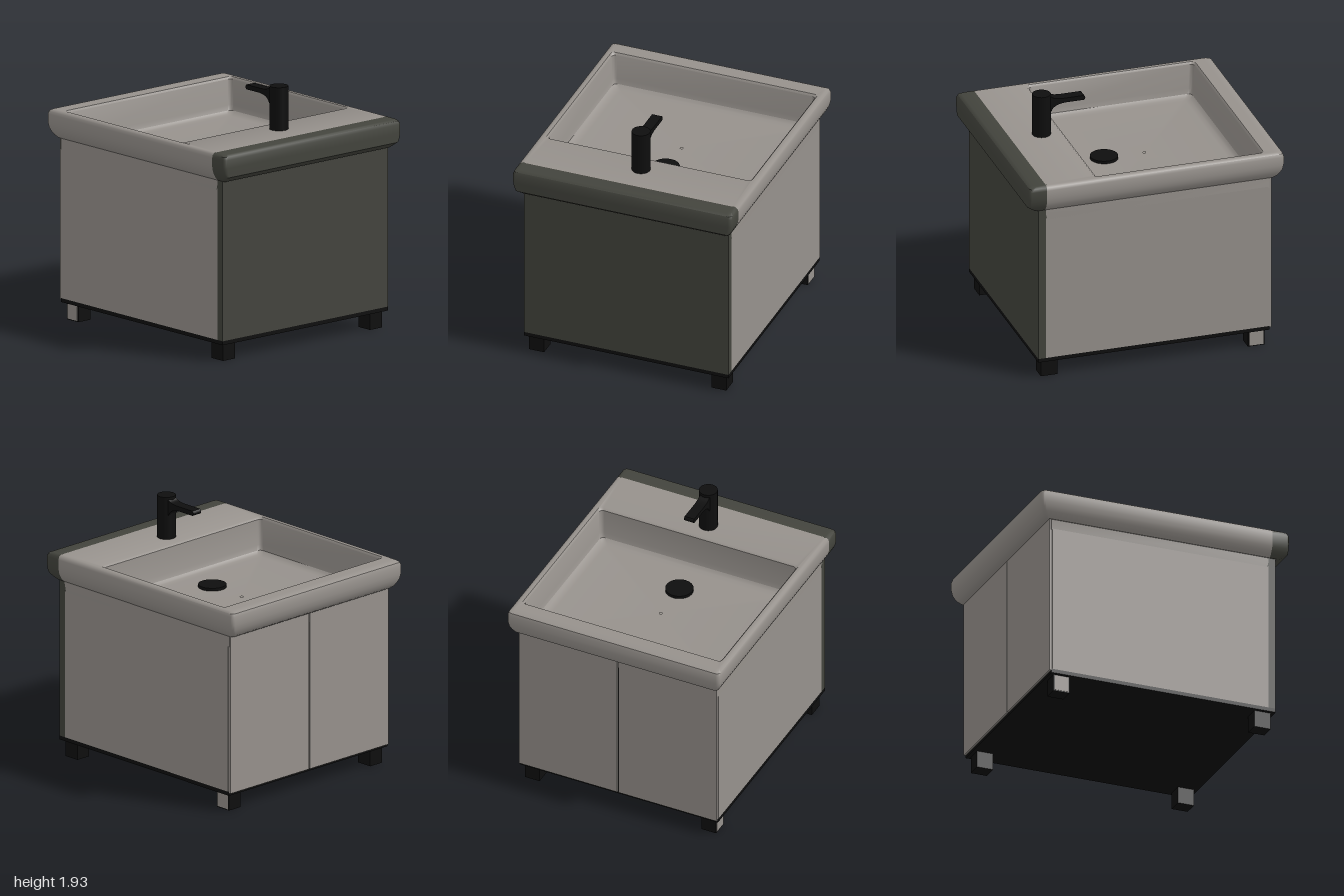
import * as THREE from 'three';
import { toCreasedNormals } from 'three/addons/utils/BufferGeometryUtils.js';

const mat = (name, color) => {
  const m = new THREE.MeshStandardMaterial({ color });
  m.name = name;
  return m;
};

// Rounded rectangle at height y; one extra point per side marks the dark front strip
function ring([y, x, z0, z1, r], stripZ) {
  const pts = [];
  const mark = Math.min(stripZ, z1 - r - 0.001);
  const corner = (cx, cz, start) => {
    for (let i = 0; i <= 5; i++) {
      const a = start + (i / 5) * Math.PI / 2;
      pts.push([cx + r * Math.cos(a), y, cz + r * Math.sin(a)]);
    }
  };
  pts.push([x, y, mark]);
  corner(x - r, z1 - r, 0);
  corner(r - x, z1 - r, Math.PI / 2);
  pts.push([-x, y, mark]);
  corner(r - x, z0 + r, Math.PI);
  corner(x - r, z0 + r, Math.PI * 1.5);
  return pts;
}

// Skins the rings, sorting faces into the body and the front strip
function loftBasin(profile, stripZ) {
  const rings = profile.map(p => ring(p, stripZ));
  const n = rings[0].length;
  const body = [], strip = [];
  const add = (...tri) => {
    const z = (tri[0][2] + tri[1][2] + tri[2][2]) / 3;
    (z > stripZ ? strip : body).push(...tri.flat());
  };
  for (let k = 0; k < rings.length - 1; k++) {
    for (let i = 0; i < n; i++) {
      const j = (i + 1) % n;
      const a = rings[k][i], b = rings[k][j], c = rings[k + 1][i], d = rings[k + 1][j];
      add(a, c, b);
      add(b, c, d);
    }
  }
  return [body, strip].map(p => {
    const g = new THREE.BufferGeometry();
    g.setAttribute('position', new THREE.Float32BufferAttribute(p, 3));
    return toCreasedNormals(g, 0.7);
  });
}

export function createModel() {
  const group = new THREE.Group();
  const stone = mat('warm grey', 0x96918c);
  const olive = mat('dark olive', 0x43443d);
  const black = mat('black', 0x0e0e0e);

  const add = (name, geometry, material, x = 0, y = 0, z = 0) => {
    const m = new THREE.Mesh(geometry, material);
    m.name = name;
    m.position.set(x, y, z);
    group.add(m);
    return m;
  };
  // Box given by its limits on each axis
  const box = (name, material, x0, x1, y0, y1, z0, z1) =>
    add(name, new THREE.BoxGeometry(x1 - x0, y1 - y0, z1 - z0), material,
      (x0 + x1) / 2, (y0 + y1) / 2, (z0 + z1) / 2);

  // Cabinet
  box('cabinetBody', stone, -0.82, 0.82, 0.16, 1.31, -0.89, 0.85);
  box('frontPanel', olive, -0.82, 0.82, 0.16, 1.42, 0.85, 0.91);
  box('bottomPlate', black, -0.82, 0.82, 0.13, 0.16, -0.9, 0.91);
  for (const s of [-1, 1]) {
    const inner = 0.006 * s, outer = 0.818 * s;
    box('door', stone, Math.min(inner, outer), Math.max(inner, outer), 0.15, 1.385, -0.915, -0.893);
  }
  box('doorGap', black, -0.006, 0.006, 0.16, 1.385, -0.897, -0.89);

  // Legs, the rear pair faced with light plates
  for (const s of [-1, 1]) {
    for (const z of [0.815, -0.805]) {
      add('leg', new THREE.BoxGeometry(0.12, 0.13, 0.13), black, 0.73 * s, 0.065, z);
    }
    add('legPlate', new THREE.BoxGeometry(0.004, 0.12, 0.11), stone, 0.791 * s, 0.067, -0.805);
  }

  // Basin: y, half width, rear z, front z, corner radius, from the skirt over the rim to the floor
  const [body, strip] = loftBasin([
    [1.3, 0.82, -0.905, 0.85, 0.01],
    [1.385, 0.82, -0.905, 0.9, 0.01],
    [1.385, 0.825, -0.94, 0.94, 0.02],
    [1.405, 0.845, -0.965, 0.965, 0.03],
    [1.43, 0.86, -0.98, 1.0, 0.03],
    [1.46, 0.873, -0.993, 1.0, 0.03],
    [1.5, 0.88, -1.0, 1.0, 0.03],
    [1.565, 0.88, -1.0, 1.0, 0.03],
    [1.588, 0.873, -0.992, 0.99, 0.03],
    [1.6, 0.855, -0.97, 0.965, 0.03],
    [1.6, 0.84, -0.93, 0.86, 0.01],
    [1.6, 0.825, -0.855, 0.47, 0.03],
    [1.585, 0.812, -0.842, 0.452, 0.03],
    [1.39, 0.806, -0.832, 0.444, 0.03],
    [1.352, 0.795, -0.82, 0.432, 0.03],
    [1.333, 0.765, -0.79, 0.402, 0.03],
    [1.328, 0.73, -0.755, 0.367, 0.03],
    [1.325, 0.01, -0.2, -0.18, 0.004],
  ], 0.86);
  add('basin', body, stone);
  add('basinFrontStrip', strip, olive);

  // Drain cap
  add('drain', new THREE.CylinderGeometry(0.105, 0.105, 0.025, 40), black, 0, 1.336, 0.125);

  // Tap column and flared lever
  add('tapColumn', new THREE.CylinderGeometry(0.07, 0.07, 0.335, 40), black, 0, 1.7625, 0.615);
  const side = new THREE.Shape();
  side.moveTo(-0.59, 1.79);
  side.lineTo(-0.55, 1.79);
  side.quadraticCurveTo(-0.535, 1.845, -0.44, 1.85);
  side.lineTo(-0.295, 1.85);
  side.quadraticCurveTo(-0.275, 1.868, -0.295, 1.886);
  side.lineTo(-0.46, 1.886);
  side.quadraticCurveTo(-0.53, 1.888, -0.55, 1.91);
  side.lineTo(-0.59, 1.91);
  const lever = new THREE.ExtrudeGeometry(side, { depth: 0.08, bevelEnabled: false, curveSegments: 8 });
  lever.translate(0, 0, -0.04).rotateY(Math.PI / 2);
  add('tapLever', toCreasedNormals(lever, 0.6), black);

  return group;
}
